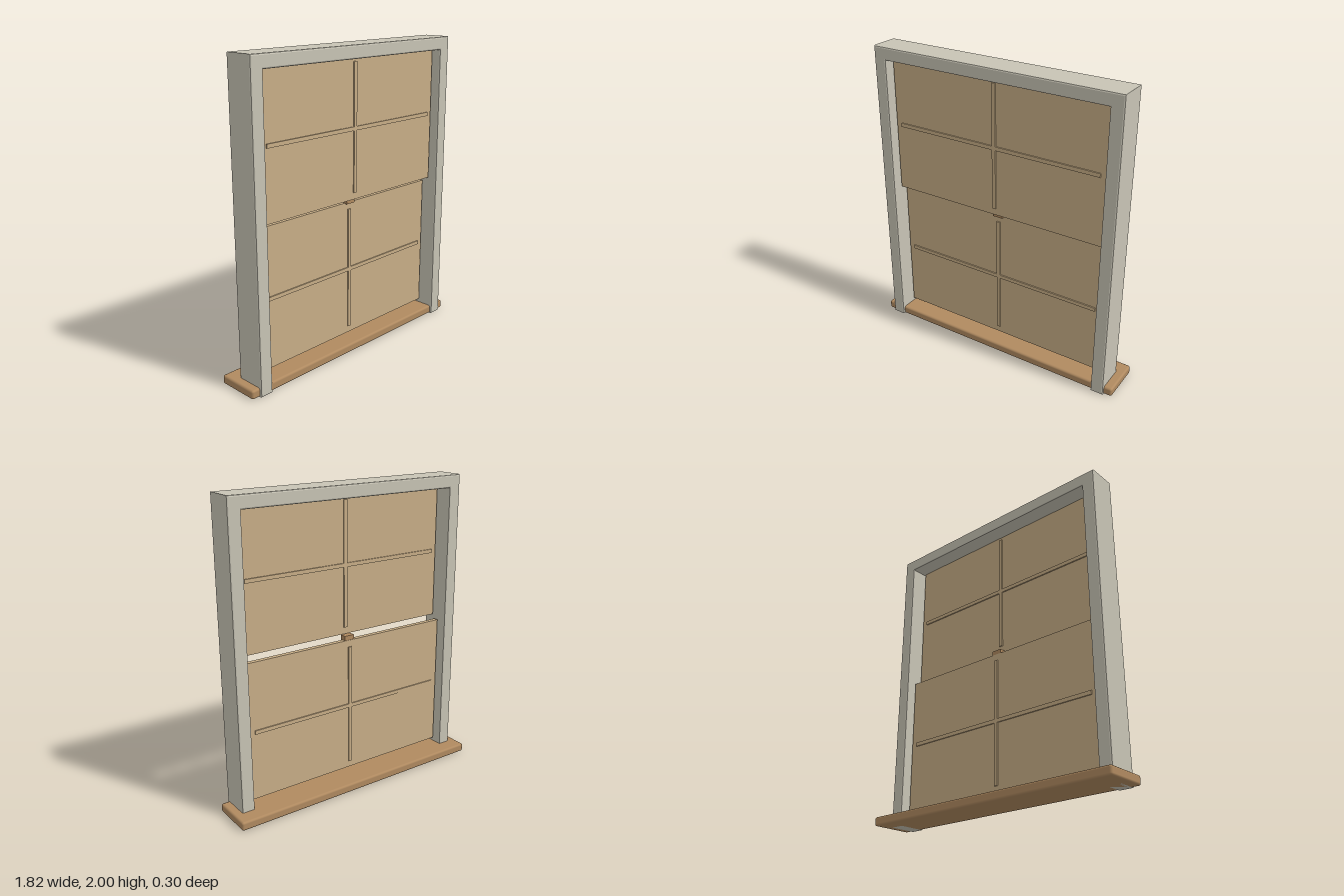
import * as THREE from 'three';
import { RoundedBoxGeometry } from 'three/addons/geometries/RoundedBoxGeometry.js';

function material(name, color) {
  const m = new THREE.MeshStandardMaterial({ color });
  m.name = name;
  return m;
}

export function createModel() {
  const paint = material('pale grey paint', 0xc8c4b5);
  const wood = material('brown wood', 0xb08a60);
  const tan = material('tan sash', 0xc8ae87);

  const model = new THREE.Group();
  model.name = 'sashWindow';

  const add = (parent, name, geometry, mat, x, y, z) => {
    const mesh = new THREE.Mesh(geometry, mat);
    mesh.name = name;
    mesh.position.set(x, y, z);
    parent.add(mesh);
    return mesh;
  };

  // Outer frame: two posts and a head in one piece with softened edges
  const outer = 0.855, inner = 0.768, head = 1.915, bevel = 0.01;
  const outline = new THREE.Shape([
    [-outer, 0], [-inner, 0], [-inner, head], [inner, head],
    [inner, 0], [outer, 0], [outer, 2], [-outer, 2],
  ].map(([x, y]) => new THREE.Vector2(x, y)));
  const frame = new THREE.ExtrudeGeometry(outline, {
    depth: 0.2 - 2 * bevel, bevelEnabled: true, bevelSize: bevel,
    bevelThickness: bevel, bevelOffset: -bevel, bevelSegments: 2,
  });
  add(model, 'frame', frame, paint, 0, 0, -0.05 + bevel);

  // Sill, running past the frame at the back and both ends
  add(model, 'sill', new RoundedBoxGeometry(1.82, 0.058, 0.285, 2, 0.014), wood, 0, 0.029, -0.0075);

  // Two sliding sashes, each a panel with a cross of glazing bars on both faces
  const width = 1.51, height = 0.91, thick = 0.032, proud = 0.008, bar = 0.025;
  for (const [name, bottom, z] of [['upperSash', 1.03, 0.075], ['lowerSash', 0.09, 0.025]]) {
    const sash = new THREE.Group();
    sash.name = name;
    sash.position.set(0, bottom + height / 2, z);
    model.add(sash);
    add(sash, 'panel', new THREE.BoxGeometry(width, height, thick), tan, 0, 0, 0);
    const depth = thick + 2 * proud;
    add(sash, 'verticalBar', new THREE.BoxGeometry(bar, height - 0.09, depth), tan, 0, 0, 0);
    add(sash, 'horizontalBar', new THREE.BoxGeometry(width - 0.08, bar, depth), tan, 0, 0, 0);
  }

  // Catch on the meeting rail
  add(model, 'catch', new THREE.BoxGeometry(0.07, 0.035, 0.045), wood, 0, 1.0125, 0.035);

  return model;
}
